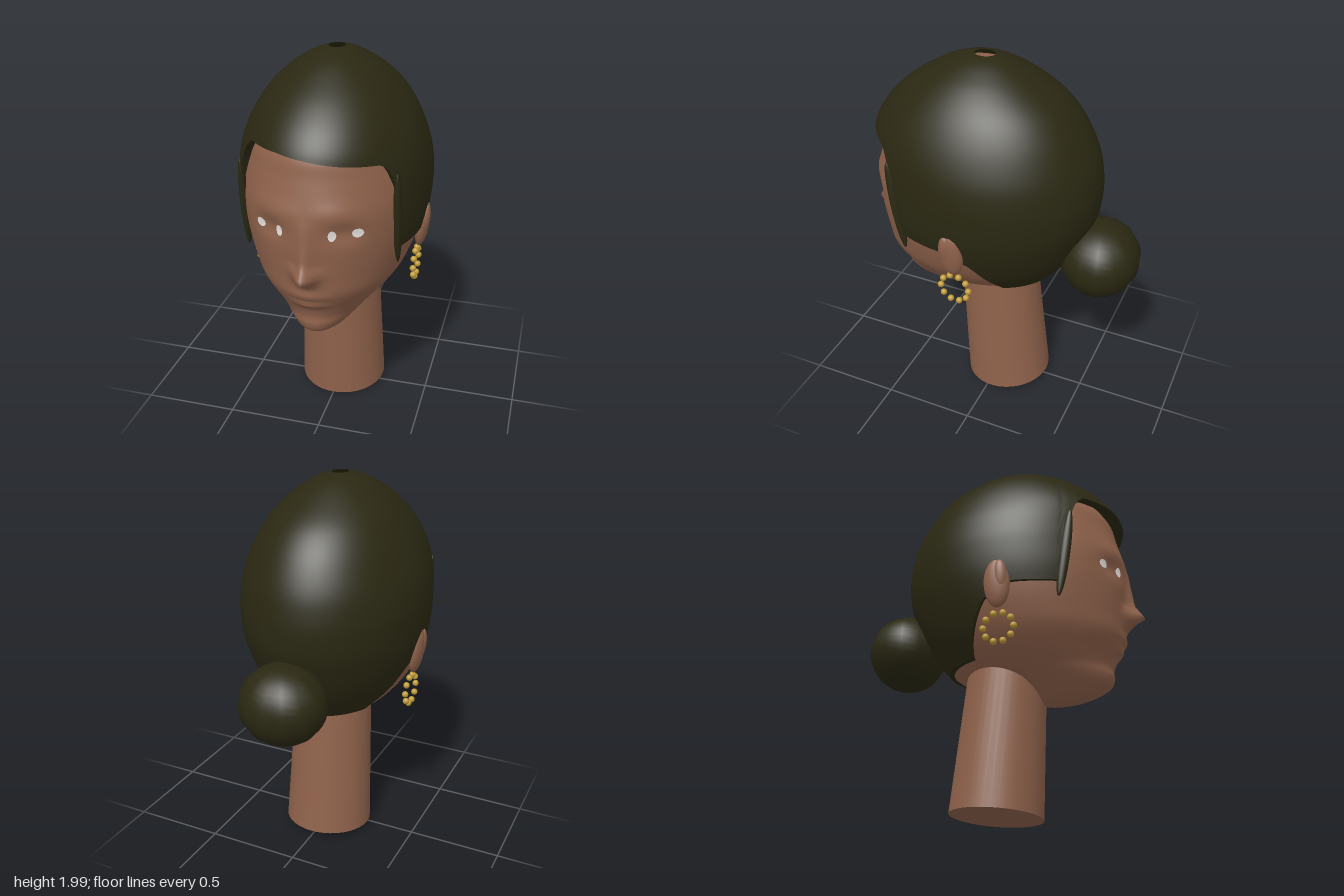
import * as THREE from 'three';

const mat = (name, color, side = THREE.FrontSide) => {
  const m = new THREE.MeshStandardMaterial({ color, side });
  m.name = name;
  return m;
};

// Smooth interpolation through rows [key, v1, v2, ...] sorted by rising key
function sample(rows, k) {
  const n = rows.length - 1;
  k = Math.min(Math.max(k, rows[0][0]), rows[n][0]);
  let i = 0;
  while (i < n - 1 && k > rows[i + 1][0]) i++;
  const a = rows[i], b = rows[i + 1], h = b[0] - a[0], t = (k - a[0]) / h;
  const slope = (j, c) => {
    const p = rows[Math.max(j - 1, 0)], q = rows[Math.min(j + 1, n)];
    return (q[c] - p[c]) / (q[0] - p[0]);
  };
  return a.slice(1).map((_, c) => {
    c++;
    const t2 = t * t, t3 = t2 * t;
    return (2 * t3 - 3 * t2 + 1) * a[c] + (t3 - 2 * t2 + t) * h * slope(i, c)
      + (3 * t2 - 2 * t3) * b[c] + (t3 - t2) * h * slope(i + 1, c);
  });
}

function linear(rows, k) {
  let i = 0;
  while (i < rows.length - 2 && k > rows[i + 1][0]) i++;
  const [a, b] = [rows[i], rows[i + 1]];
  return THREE.MathUtils.lerp(a[1], b[1], THREE.MathUtils.clamp((k - a[0]) / (b[0] - a[0]), 0, 1));
}

// Closed rings of points, from top to bottom; angle 0 is the front, rising towards +x
function loft(rows, cols, point) {
  const pos = [], index = [];
  for (let r = 0; r <= rows; r++)
    for (let c = 0; c < cols; c++) pos.push(...point(r / rows, -Math.PI + (2 * Math.PI * c) / cols));
  for (let r = 0; r < rows; r++)
    for (let c = 0; c < cols; c++) {
      const d = (c + 1) % cols, p = r * cols, q = p + cols;
      index.push(p + c, q + c, q + d, p + c, q + d, p + d);
    }
  const g = new THREE.BufferGeometry();
  g.setAttribute('position', new THREE.Float32BufferAttribute(pos, 3));
  g.setIndex(index);
  g.computeVertexNormals();
  return g;
}

// Sections as [height, half width, front z, back z], keyed by root of depth below the top
const byDepth = (top, rows) => rows.map(([y, ...v]) => [Math.sqrt(top - y), ...v]);
const HEAD_TOP = 1.975, HEAD_BOTTOM = 0.575, HAIR_TOP = 2;
const headRows = byDepth(HEAD_TOP, [
  [1.975, 0, 0.09, 0.09], [1.93, 0.14, 0.28, -0.09], [1.87, 0.235, 0.38, -0.19], [1.77, 0.33, 0.49, -0.325],
  [1.6, 0.42, 0.615, -0.45], [1.5, 0.45, 0.64, -0.49], [1.4, 0.465, 0.665, -0.505], [1.3, 0.467, 0.685, -0.51],
  [1.2, 0.46, 0.682, -0.5], [1.1, 0.44, 0.672, -0.465], [1, 0.41, 0.66, -0.425], [0.9, 0.365, 0.648, -0.365],
  [0.8, 0.29, 0.6, -0.285], [0.745, 0.235, 0.583, -0.2], [0.7, 0.185, 0.585, -0.06], [0.65, 0.13, 0.555, 0.07],
  [0.6, 0.065, 0.44, 0.18], [0.575, 0, 0.28, 0.28]]);
const hairRows = byDepth(HAIR_TOP, [
  [2, 0, 0.09, 0.09], [1.95, 0.16, 0.3, -0.1], [1.9, 0.235, 0.39, -0.19], [1.8, 0.335, 0.53, -0.335],
  [1.7, 0.4, 0.625, -0.42], [1.6, 0.445, 0.68, -0.475], [1.5, 0.475, 0.69, -0.512], [1.4, 0.488, 0.69, -0.53],
  [1.33, 0.49, 0.69, -0.535], [1.2, 0.48, 0.69, -0.522], [1.1, 0.46, 0.675, -0.488], [1, 0.428, 0.67, -0.447],
  [0.9, 0.385, 0.665, -0.387], [0.79, 0.302, 0.61, -0.297]]);

// Nose projection by height
const noseRows = [[0.94, 0], [0.97, 0.02], [1, 0.06], [1.02, 0.103], [1.05, 0.082], [1.1, 0.044], [1.2, 0.02], [1.32, 0]];
const bump = (d, s) => Math.exp(-((d / s) ** 2));

function headPoint(y, a) {
  const [w, f, b] = sample(headRows, Math.sqrt(Math.max(HEAD_TOP - y, 0)));
  const x = w * Math.sin(a);
  let z = (f + b) / 2 + ((f - b) / 2) * Math.cos(a);
  if (Math.cos(a) > 0) {
    z += linear(noseRows, y) * bump(x, y < 1.06 ? 0.055 : 0.04);
    z += (0.014 * bump(y - 0.9, 0.022) + 0.02 * bump(y - 0.84, 0.02)) * bump(x, 0.09);
    z += 0.01 * bump(y - 1.35, 0.05) * bump(Math.abs(x) - 0.16, 0.12);
    z -= 0.022 * bump(y - 1.25, 0.05) * bump(Math.abs(x) - 0.18, 0.08);
  }
  return [x, y, z];
}

// Hairline height by angle; the parting makes the two front halves differ
const hairTail = [[0.97, 1.35], [1, 1.22], [1.03, 1.1], [1.46, 1.1], [1.75, 1.03], [2.2, 0.79], [Math.PI, 0.79]];
const leftLine = [[0, 1.61], [0.4, 1.585], [0.78, 1.565], [0.86, 1.53], ...hairTail];
const rightLine = [[0, 1.61], [0.3, 1.625], [0.76, 1.628], [0.86, 1.58], ...hairTail];
const hairline = (a) => linear(a < 0 ? rightLine : leftLine, Math.abs(a));

function hairPoint(s, a, inset = 1) {
  const [w, f, b] = sample(hairRows, s);
  return [inset * w * Math.sin(a), HAIR_TOP - s * s, (f + b) / 2 + inset * ((f - b) / 2) * Math.cos(a)];
}

// Small plate lying on the face around (cx, cy)
function facePlate(cx, cy, rx, ry) {
  const g = new THREE.CircleGeometry(1, 10), p = g.attributes.position;
  for (let i = 0; i < p.count; i++) {
    const x = cx + rx * p.getX(i), y = cy + ry * p.getY(i);
    const w = sample(headRows, Math.sqrt(HEAD_TOP - y))[0];
    p.setXYZ(i, x, y, headPoint(y, Math.asin(x / w))[2] + 0.005);
  }
  g.computeVertexNormals();
  return g;
}

export function createModel() {
  const skin = mat('skin', 0x8f624b), hair = mat('hair', 0x2a2812, THREE.DoubleSide);
  const white = mat('eyeWhite', 0xe6e2de), gold = mat('gold', 0xbf9a35);
  const model = new THREE.Group();
  model.name = 'headBust';
  const add = (name, geo, material, pos = [0, 0, 0], scale = [1, 1, 1], parent = model) => {
    const m = new THREE.Mesh(geo, material);
    m.name = name;
    m.position.set(...pos);
    m.scale.set(...scale);
    parent.add(m);
    return m;
  };

  // Head, with columns packed towards the face
  add('head', loft(110, 110, (t, a) => headPoint(
    THREE.MathUtils.lerp(HEAD_TOP, HEAD_BOTTOM, (1 - Math.cos(Math.PI * t)) / 2), a - 0.5 * Math.sin(a))), skin);

  // Neck, leaning forward
  const bottom = new THREE.Vector3(0, 0.027, -0.045), top = new THREE.Vector3(0, 0.9, 0.025);
  const axis = top.clone().sub(bottom);
  const neck = add('neck', new THREE.CylinderGeometry(0.205, 0.24, axis.length(), 40), skin,
    bottom.clone().add(top).multiplyScalar(0.5).toArray());
  neck.quaternion.setFromUnitVectors(new THREE.Vector3(0, 1, 0), axis.normalize());

  // Hair cap with a small crown opening, and its turned-in edge
  const edge = (a) => Math.sqrt(HAIR_TOP - hairline(a));
  add('hairCap', loft(48, 180, (t, a) => hairPoint(THREE.MathUtils.lerp(0.06, edge(a), t), a)), hair);
  add('hairEdge', loft(1, 180, (t, a) => hairPoint(edge(a), a, 1 - 0.09 * t)), hair);

  // Bun
  const bun = new THREE.SphereGeometry(1, 14, 20).rotateY(Math.PI / 2);
  add('bun', bun, hair, [0, 0.97, -0.56], [0.228, 0.208, 0.21]);

  const ball = new THREE.SphereGeometry(1, 24, 16), bead = new THREE.SphereGeometry(0.0175, 12, 8);
  for (const [side, s] of [['left', 1], ['right', -1]]) {
    // Side lock
    const lock = add(side + 'Lock', ball, hair, [s * 0.388, 1.26, 0.422], [0.022, 0.25, 0.03]);
    lock.rotation.x = 0.15;

    // Ear
    const ear = add(side + 'Ear', ball, skin, [s * 0.455, 1.095, 0.085], [0.034, 0.13, 0.068]);
    ear.rotation.z = -s * 0.12;
    const inner = add(side + 'InnerEar', ball, skin, [s * 0.468, 1.125, 0.105], [0.027, 0.09, 0.038]);
    inner.rotation.z = -s * 0.12;

    // Eye whites
    add(side + 'EyeInner', facePlate(s * 0.128, 1.245, 0.018, 0.028), white);
    add(side + 'EyeOuter', facePlate(s * 0.237, 1.25, 0.026, 0.024), white);

    // Beaded hoop earring
    const hoop = new THREE.Group();
    hoop.name = side + 'Earring';
    hoop.position.set(s * 0.427, 0.864, 0.085);
    model.add(hoop);
    for (let i = 0; i < 10; i++) {
      const a = (i * Math.PI) / 5;
      add('bead', bead, gold, [0, 0.079 * Math.sin(a), 0.079 * Math.cos(a)], [1, 1, 1], hoop);
    }
  }
  return model;
}
